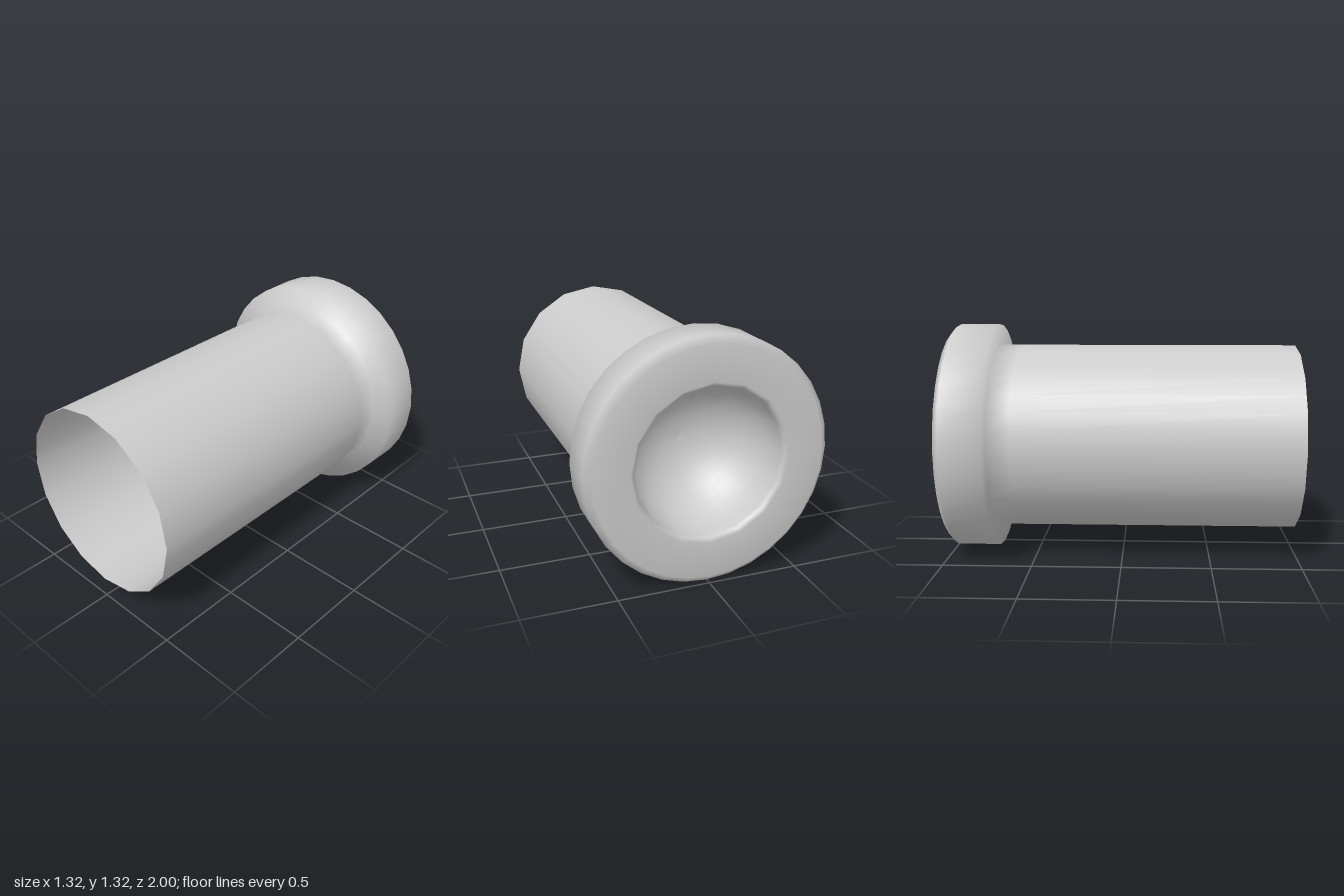
import * as THREE from 'three';

const SIDES = 32;      // collar resolution; tube and bowl use half of it
const AXIS_Y = 0.66;

// Turned profile as [radius, z], from the bowl's tip round the collar to the tube's open end
function makeProfile() {
  const points = [];
  // domed bowl pushed into the tube
  const steps = 10;
  for (let i = 0; i <= steps; i++) {
    const a = (i / steps) * Math.PI / 2;
    points.push([0.405 * Math.sin(a), -0.96 + 0.405 * Math.cos(a)]);
  }
  points.push(
    [0.41, -0.985], [0.43, -1],             // rounded lip of the bowl
    [0.62, -1], [0.66, -0.965],             // back face and chamfer
    [0.66, -0.735], [0.54, -0.735],         // collar side and front face
    [0.54, -0.6], [0.54, 1]                 // tube
  );
  return points.map(([r, z]) => new THREE.Vector2(r, z));
}

export function createModel() {
  const profile = makeProfile();
  const geometry = new THREE.LatheGeometry(profile, SIDES);

  // Flatten every second column of the narrow rings so tube and bowl are 16-sided
  const pos = geometry.attributes.position;
  const chord = Math.cos(Math.PI / (SIDES / 2));
  for (let i = 1; i < SIDES; i += 2) {
    profile.forEach((p, j) => {
      if (p.x > 0.55) return;
      const k = i * profile.length + j;
      pos.setX(k, pos.getX(k) * chord);
      pos.setZ(k, pos.getZ(k) * chord);
    });
  }

  // Lay the axis along z, resting on the collar
  geometry.rotateX(Math.PI / 2);
  geometry.translate(0, AXIS_Y, 0);

  const material = new THREE.MeshStandardMaterial({ color: 0xcccccc, side: THREE.DoubleSide });
  const body = new THREE.Mesh(geometry, material);
  body.name = 'collaredTube';

  const group = new THREE.Group();
  group.name = 'collaredTubeWithBowl';
  group.add(body);
  return group;
}
